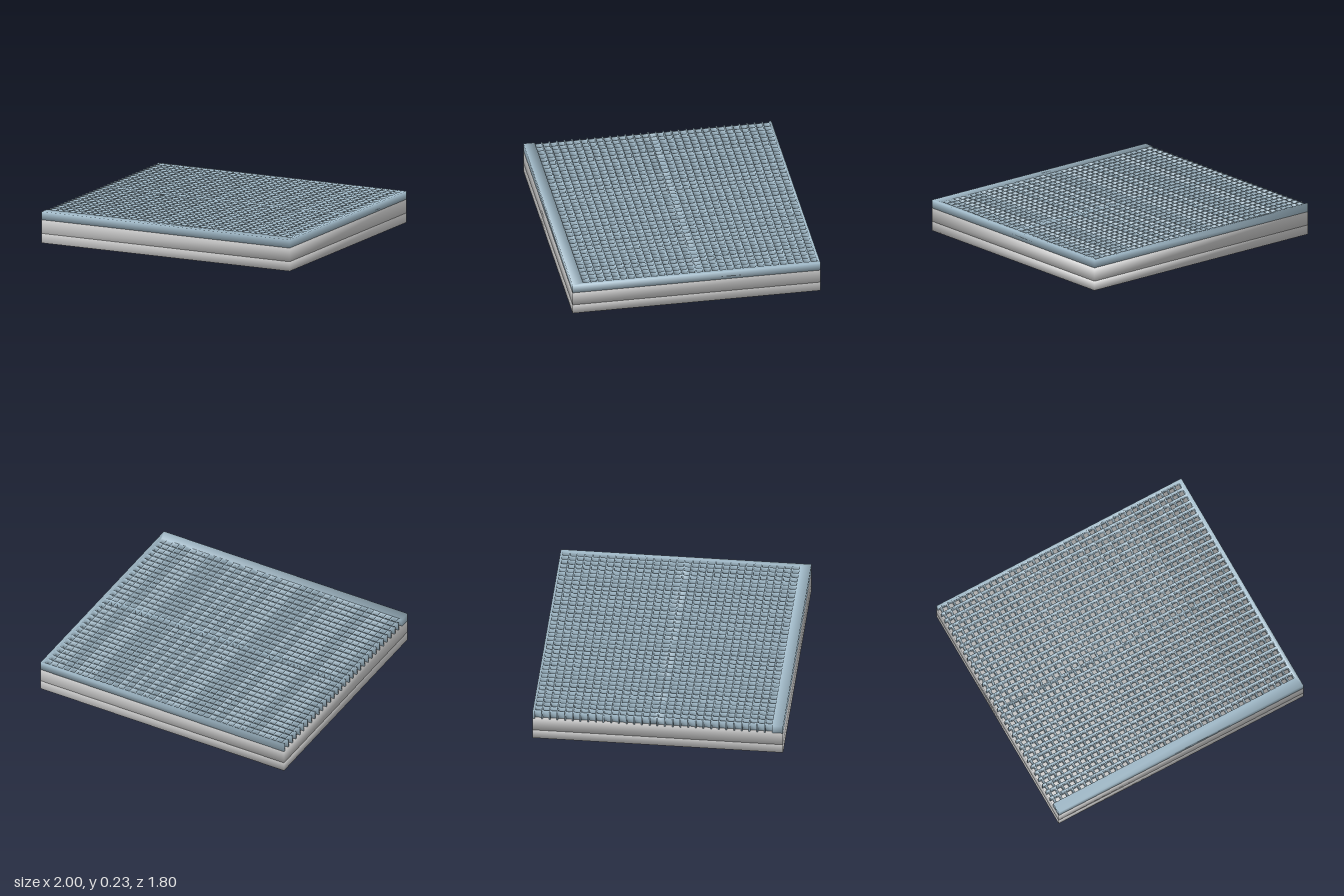
import * as THREE from 'three';
import { toCreasedNormals } from 'three/addons/utils/BufferGeometryUtils.js';

const W = 2, D = 1.8;                 // plate width and depth
const COLS = 40, ROWS = 31;           // cells of the grating
const PX = 0.05, PZ = 0.0552;         // cell pitch
const CX = 0.041, CZ = 0.045;         // cell opening
const X0 = -1.021, Z0 = -0.882;       // corner of the first cell

// Corner normals averaged over all neighbouring faces, for a soft shaded slab
const soften = (geo) => toCreasedNormals(geo, Math.PI);

function slab(name, y0, y1, material) {
  const geo = new THREE.BoxGeometry(W, y1 - y0, D);
  geo.translate(0, (y0 + y1) / 2, 0);
  const mesh = new THREE.Mesh(soften(geo), material);
  mesh.name = name;
  return mesh;
}

// Plate pierced by rows of square cells; the first column breaks through the left-hand edge in x
function grating(y0, y1, material) {
  const shape = new THREE.Shape();
  shape.moveTo(-W / 2, -D / 2);
  shape.lineTo(W / 2, -D / 2);
  shape.lineTo(W / 2, D / 2);
  shape.lineTo(-W / 2, D / 2);
  // Notched edge, walked from front to back (shape y is -z)
  for (let r = 0; r < ROWS; r++) {
    const top = -(Z0 + r * PZ);
    shape.lineTo(-W / 2, top);
    shape.lineTo(X0 + CX, top);
    shape.lineTo(X0 + CX, top - CZ);
    shape.lineTo(-W / 2, top - CZ);
  }
  shape.closePath();

  // Closed cells
  for (let c = 1; c < COLS; c++) {
    for (let r = 0; r < ROWS; r++) {
      const x = X0 + c * PX, y = -(Z0 + r * PZ);
      const hole = new THREE.Path();
      hole.moveTo(x, y);
      hole.lineTo(x + CX, y);
      hole.lineTo(x + CX, y - CZ);
      hole.lineTo(x, y - CZ);
      hole.closePath();
      shape.holes.push(hole);
    }
  }

  const geo = new THREE.ExtrudeGeometry(shape, { depth: y1 - y0, bevelEnabled: false });
  geo.rotateX(-Math.PI / 2);
  geo.translate(0, y0, 0);
  const mesh = new THREE.Mesh(soften(geo), material);
  mesh.name = 'grating';
  return mesh;
}

export function createModel() {
  const grey = new THREE.MeshStandardMaterial({ color: 0xcccccc });
  const blue = new THREE.MeshStandardMaterial({ color: 0xa3bccb });
  const model = new THREE.Group();
  model.name = 'layeredPlate';
  model.add(
    slab('bottomLayer', 0, 0.07, grey),
    slab('middleLayer', 0.07, 0.17, grey),
    grating(0.17, 0.23, blue)
  );
  return model;
}
